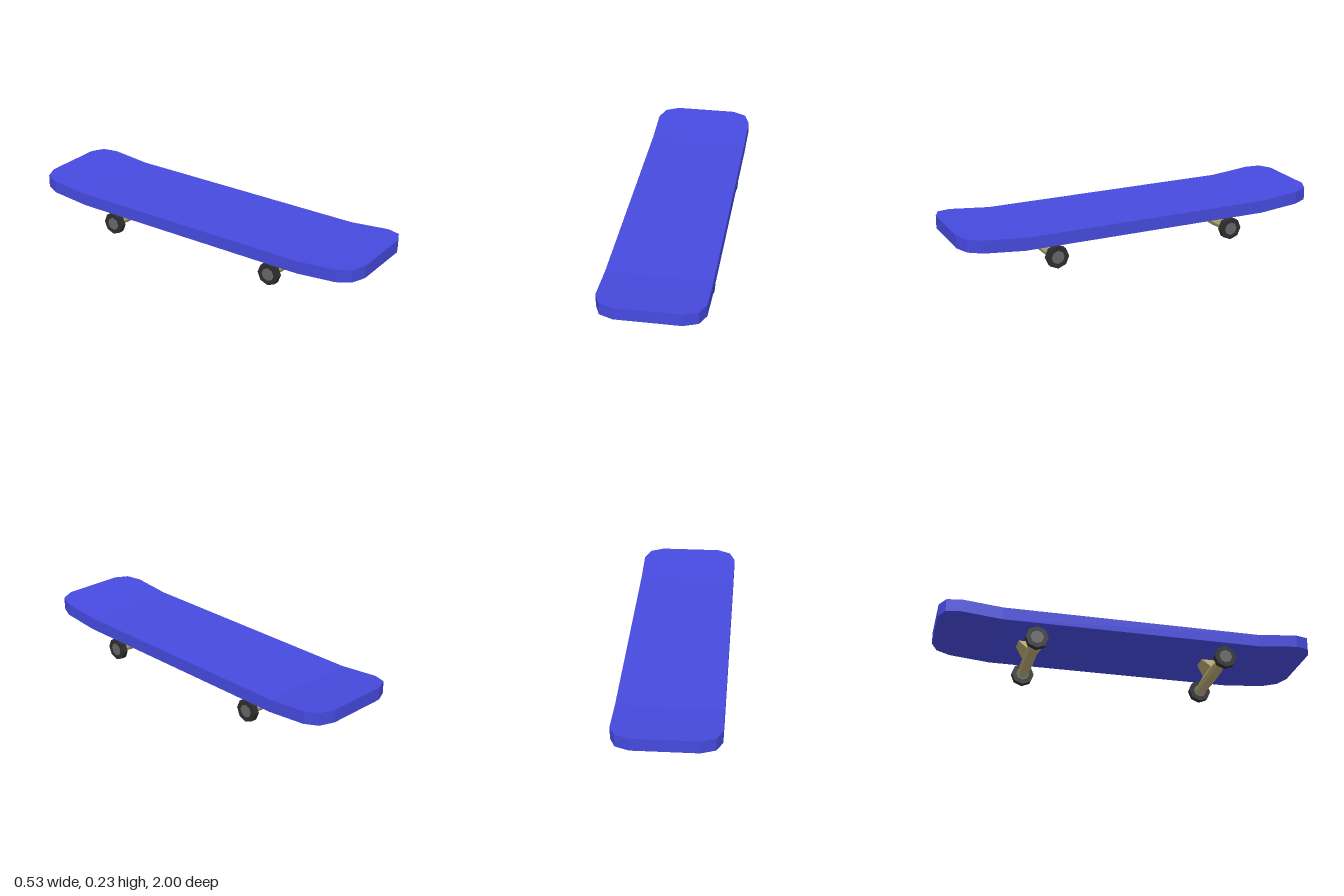
import * as THREE from 'three';

const material = (color) => new THREE.MeshStandardMaterial({ color, flatShading: true });
const blue = material(0x464ade);
const tan = material(0xb3a66e);
const black = material(0x2d2d2d);
const grey = material(0x666666);

function part(name, geometry, mat) {
  const mesh = new THREE.Mesh(geometry, mat);
  mesh.name = name;
  return mesh;
}

// Moves every vertex of a geometry by a rule
function reshape(geometry, rule) {
  const pos = geometry.attributes.position;
  const v = new THREE.Vector3();
  for (let i = 0; i < pos.count; i++) {
    rule(v.fromBufferAttribute(pos, i));
    pos.setXYZ(i, v.x, v.y, v.z);
  }
  geometry.computeVertexNormals();
  return geometry;
}

// Long board with chamfered corners and both ends kicked up
function deckGeometry() {
  const halfWidths = [0.165, 0.237, 0.267, 0.267];
  const depths = [1, 0.968, 0.895, 0.68];
  return reshape(new THREE.BoxGeometry(2, 0.067, 7, 1, 1, 7), (v) => {
    const side = Math.sign(v.z);
    const station = Math.round(3.5 - Math.abs(v.z));
    v.x *= halfWidths[station];
    v.z = side * depths[station];
    v.y += 0.1635 + Math.max(0, depths[station] - 0.68) * 0.095;
  });
}

// Eight-sided solid lying along x, from [x, radius] pairs
function turned(profile) {
  const points = profile.map(([x, r]) => new THREE.Vector2(r, x));
  return new THREE.LatheGeometry(points, 8).rotateZ(-Math.PI / 2);
}

function createTruck(name, z) {
  const truck = new THREE.Group();
  truck.name = name;
  truck.position.set(0, 0.06, z);

  // Axle, thicker in the middle
  truck.add(part('axle', turned([
    [-0.22, 0], [-0.22, 0.025], [-0.09, 0.033], [0.09, 0.033], [0.22, 0.025], [0.22, 0],
  ]), tan));

  // Mount, wide across the axle below and deep along the deck above
  const mount = reshape(new THREE.BoxGeometry(2, 0.064, 2), (v) => {
    const top = v.y > 0;
    v.x *= top ? 0.04 : 0.077;
    v.z *= top ? 0.07 : 0.02;
    v.y += 0.042;
  });
  truck.add(part('mount', mount, tan));

  // Wheels with grey hubs
  for (const side of [-1, 1]) {
    const label = side > 0 ? 'left' : 'right';
    const wheel = part(label + 'Wheel',
      new THREE.CylinderGeometry(0.06, 0.06, 0.032, 8).rotateZ(Math.PI / 2), black);
    wheel.position.x = side * 0.234;
    const hub = part(label + 'Hub',
      new THREE.CylinderGeometry(0.035, 0.035, 0.034, 8).rotateZ(Math.PI / 2), grey);
    hub.position.x = side * 0.234;
    truck.add(wheel, hub);
  }
  return truck;
}

export function createModel() {
  const model = new THREE.Group();
  model.name = 'skateboard';
  model.add(part('deck', deckGeometry(), blue));
  model.add(createTruck('frontTruck', 0.5), createTruck('backTruck', -0.5));
  return model;
}
